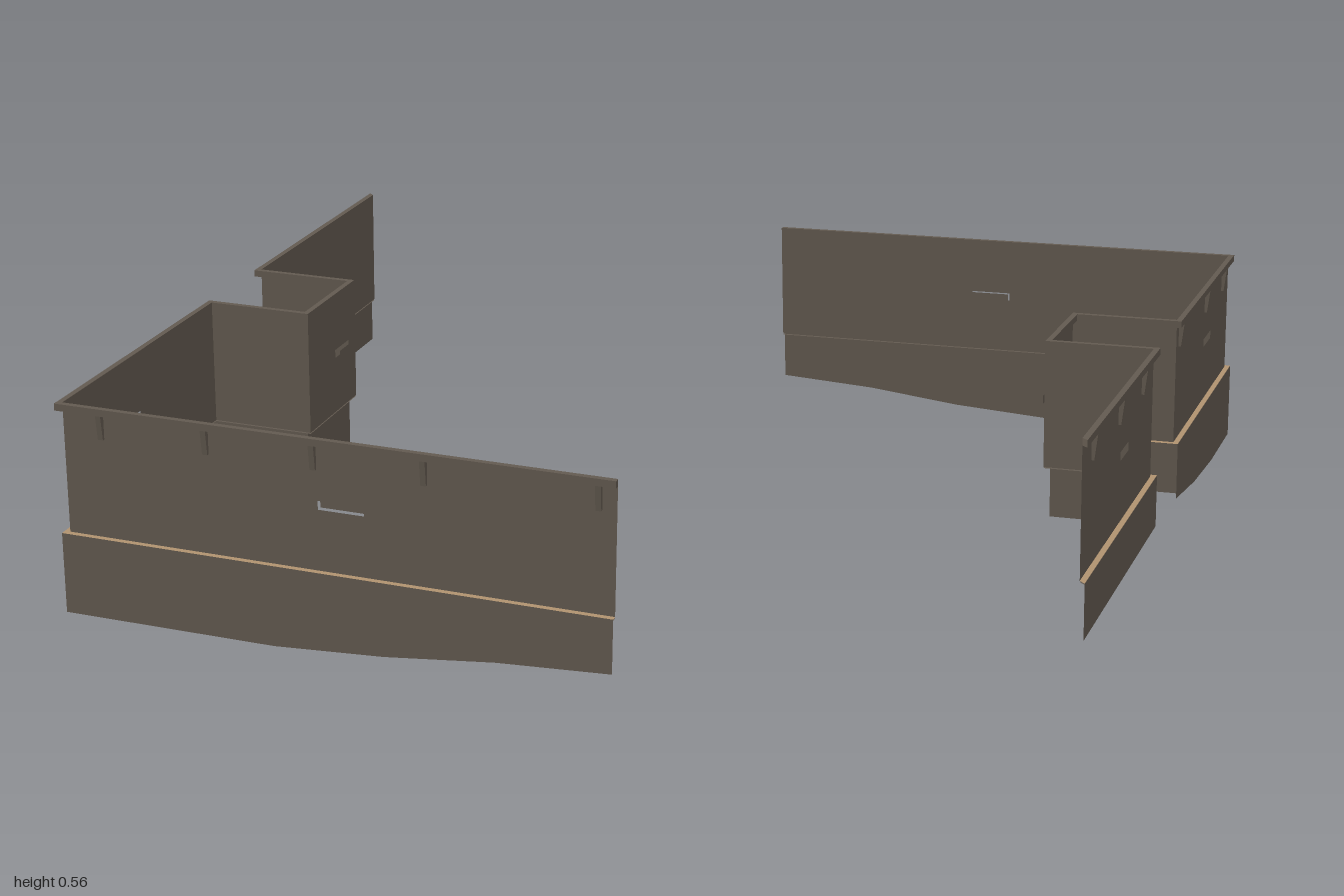
import * as THREE from 'three';

const brown = new THREE.MeshStandardMaterial({ color: 0x635a50, side: THREE.DoubleSide });
brown.name = 'weathered brown';
const tan = new THREE.MeshStandardMaterial({ color: 0xb0926f, side: THREE.DoubleSide });
tan.name = 'tan ledge';

// Plan paths [x, z]: the base follows the outer one, the upper wall the inner one
const outer = [[-0.713, -1], [-0.713, -0.145], [-0.428, -0.145], [-0.428, 0.145], [-0.713, 0.145], [-0.713, 1], [0.713, 1]];
const inner = [[-0.698, -0.985], [-0.698, -0.16], [-0.413, -0.16], [-0.413, 0.16], [-0.698, 0.16], [-0.698, 0.985], [0.713, 0.985]];
const LEDGE = 0.215, CAP = 0.539, TOP = 0.557, DEEP = 0.015;

// Lower edge of the base as [distance along the run, height]
const level = (len) => [[0, 0.075], [len, 0.075]];
const baseEdge = {
  4: [[0, 0.06], [0.285, 0.022], [0.57, 0.002], [0.855, 0]],
  5: [[0, 0], [0.57, 0.002], [0.856, 0.022], [1.14, 0.056], [1.426, 0.075]],
};
// Slots as [centre, width] and bracket centres, along the inner run
const slots = { 0: [0.48, 0.096], 2: [0.095, 0.094], 4: [0.49, 0.112], 5: [0.731, 0.118] };
const brackets = { 0: [0.105, 0.405, 0.685], 4: [0.04, 0.44, 0.72], 5: [0.103, 0.383, 0.663, 0.943, 1.368] };

function shapeOf(points) {
  return new THREE.Shape(points.map(([a, b]) => new THREE.Vector2(a, b)));
}

function add(parent, name, geometry, material = brown) {
  const mesh = new THREE.Mesh(geometry, material);
  mesh.name = name;
  parent.add(mesh);
  return mesh;
}

// Group whose x axis runs along one stretch of a path and whose z axis points outwards
function run(path, i, name) {
  const [ax, az] = path[i], [bx, bz] = path[i + 1];
  const group = new THREE.Group();
  group.name = name;
  group.position.set(ax, 0, az);
  group.rotation.y = Math.atan2(az - bz, bx - ax);
  return { group, length: Math.hypot(bx - ax, bz - az) };
}

const rect = (x0, x1, y0, y1) => [[x0, y0], [x1, y0], [x1, y1], [x0, y1]];

export function createModel() {
  const model = new THREE.Group();
  model.name = 'cornerWall';

  for (let i = 0; i < outer.length - 1; i++) {
    // Base skirt with its sloping lower edge
    const base = run(outer, i, 'baseRun');
    const edge = baseEdge[i] || level(base.length);
    add(base.group, 'baseSkirt', new THREE.ShapeGeometry(
      shapeOf([...edge, [base.length, LEDGE], [0, LEDGE]])));
    model.add(base.group);

    // Upper wall sheet with a viewing slot and the panel set behind it
    const wall = run(inner, i, 'wallRun');
    const sheet = shapeOf(rect(0, wall.length, LEDGE, TOP - 0.002));
    if (slots[i]) {
      const [c, w] = slots[i];
      const opening = shapeOf(rect(c - w / 2, c + w / 2, 0.373, 0.396));
      sheet.holes.push(opening);
      add(wall.group, 'slotPanel', new THREE.ShapeGeometry(opening)).position.z = -DEEP;
    }
    add(wall.group, 'upperWall', new THREE.ShapeGeometry(sheet));

    // Tapered brackets under the cap
    const profile = shapeOf([[0, 0.475], [0.007, 0.475], [DEEP, CAP], [0, CAP]]);
    for (const s of brackets[i] || []) {
      const geometry = new THREE.ExtrudeGeometry(profile, { depth: 0.014, bevelEnabled: false });
      geometry.rotateY(-Math.PI / 2);
      add(wall.group, 'bracket', geometry).position.x = s + 0.007;
    }
    model.add(wall.group);
  }

  // Mitred strip between both paths, used for the cap and the ledge
  const strip = shapeOf([...outer, ...[...inner].reverse()].map(([x, z]) => [x, -z]));
  const cap = new THREE.ExtrudeGeometry(strip, { depth: TOP - CAP, bevelEnabled: false });
  add(model, 'cap', cap.rotateX(-Math.PI / 2)).position.y = CAP;
  const flat = new THREE.ShapeGeometry(strip).rotateX(-Math.PI / 2);
  add(model, 'ledgeTop', flat, tan).position.y = LEDGE;
  add(model, 'ledgeUnderside', flat).position.y = LEDGE - 0.003;

  // Turn bracket profiles outwards: local x of the profile must face local z
  model.traverse((o) => {
    if (o.name === 'bracket') {
      o.rotation.y = Math.PI;
      o.position.x -= 0.014;
      const box = new THREE.Box3().setFromBufferAttribute(o.geometry.attributes.position);
      if (box.max.z > 0.001) { o.rotation.y = 0; o.position.x += 0.014; }
    }
  });
  return model;
}
